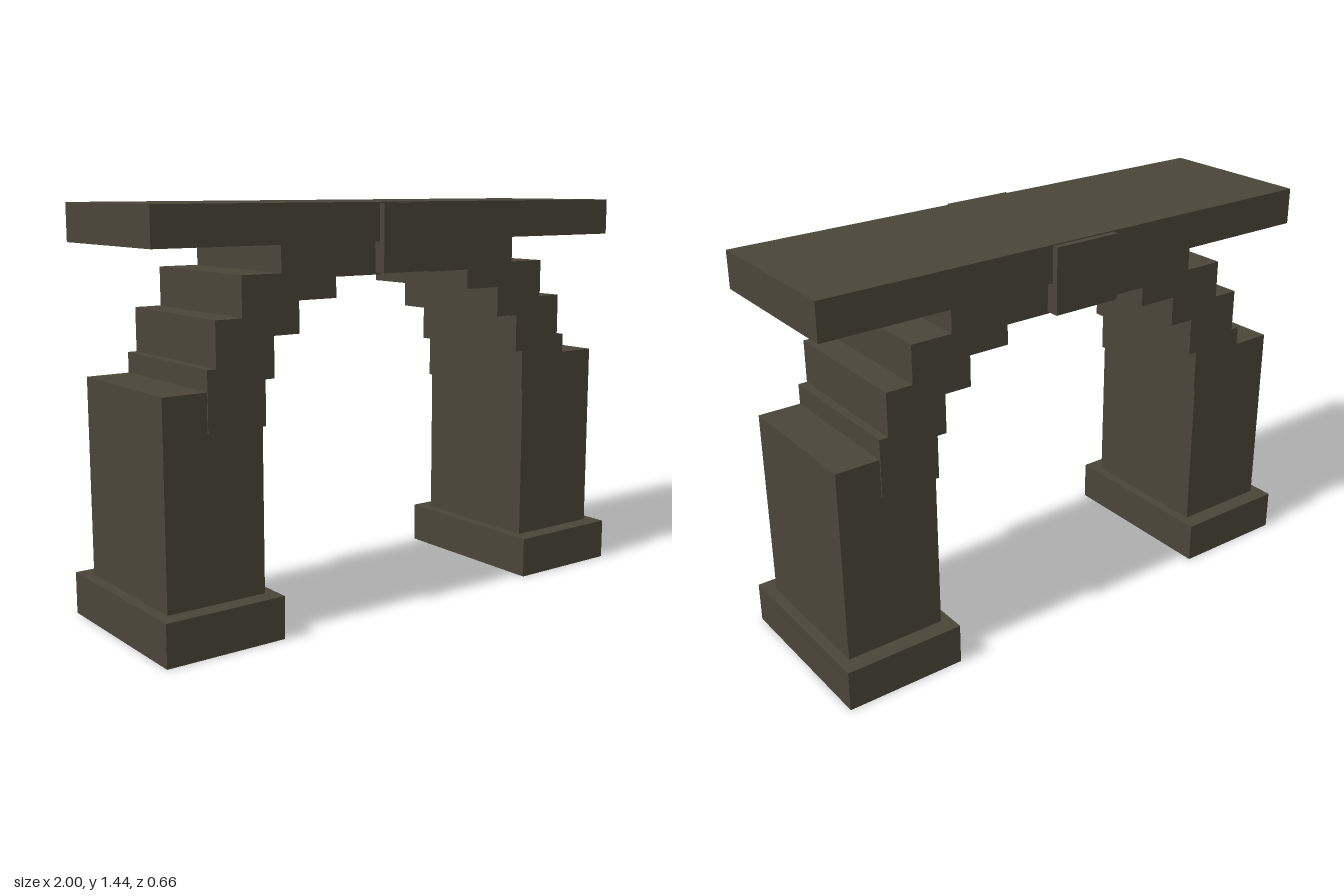
import * as THREE from 'three';

export function createModel() {
  const root = new THREE.Group();
  root.name = 'steppedArch';
  const stone = new THREE.MeshStandardMaterial({ color: 0x4a4538 });
  stone.name = 'dark stone';

  // Box from its x range, y range and half depth
  function block(name, x0, x1, y0, y1, halfZ, parent) {
    const geo = new THREE.BoxGeometry(x1 - x0, y1 - y0, halfZ * 2);
    const mesh = new THREE.Mesh(geo, stone);
    mesh.name = name;
    mesh.position.set((x0 + x1) / 2, (y0 + y1) / 2, 0);
    parent.add(mesh);
  }

  // Inner x, outer x, bottom and top of each arch stone, from pier to crown
  const archStones = [
    [0.582, 0.8, 0.72, 0.925],
    [0.547, 0.767, 0.875, 1.08],
    [0.447, 0.668, 1.015, 1.217],
    [0.296, 0.516, 1.125, 1.33],
    [0.105, 0.325, 1.196, 1.4],
  ];

  for (const side of [1, -1]) {
    const half = new THREE.Group();
    half.name = side > 0 ? 'leftHalf' : 'rightHalf';
    root.add(half);
    const add = (name, a, b, y0, y1, halfZ) =>
      block(name, Math.min(side * a, side * b), Math.max(side * a, side * b), y0, y1, halfZ, half);

    add('plinth', 0.555, 1, 0, 0.15, 0.33);
    add('pier', 0.592, 0.96, 0.15, 0.853, 0.266);
    archStones.forEach(([a, b, y0, y1], i) => add('archStone' + (i + 1), a, b, y0, y1, 0.271));
  }

  // Flat deck across the top, with the keystone standing slightly proud of it
  block('deck', -1, 1, 1.31, 1.443, 0.297, root);
  block('keystone', -0.13, 0.13, 1.203, 1.439, 0.32, root);

  return root;
}
